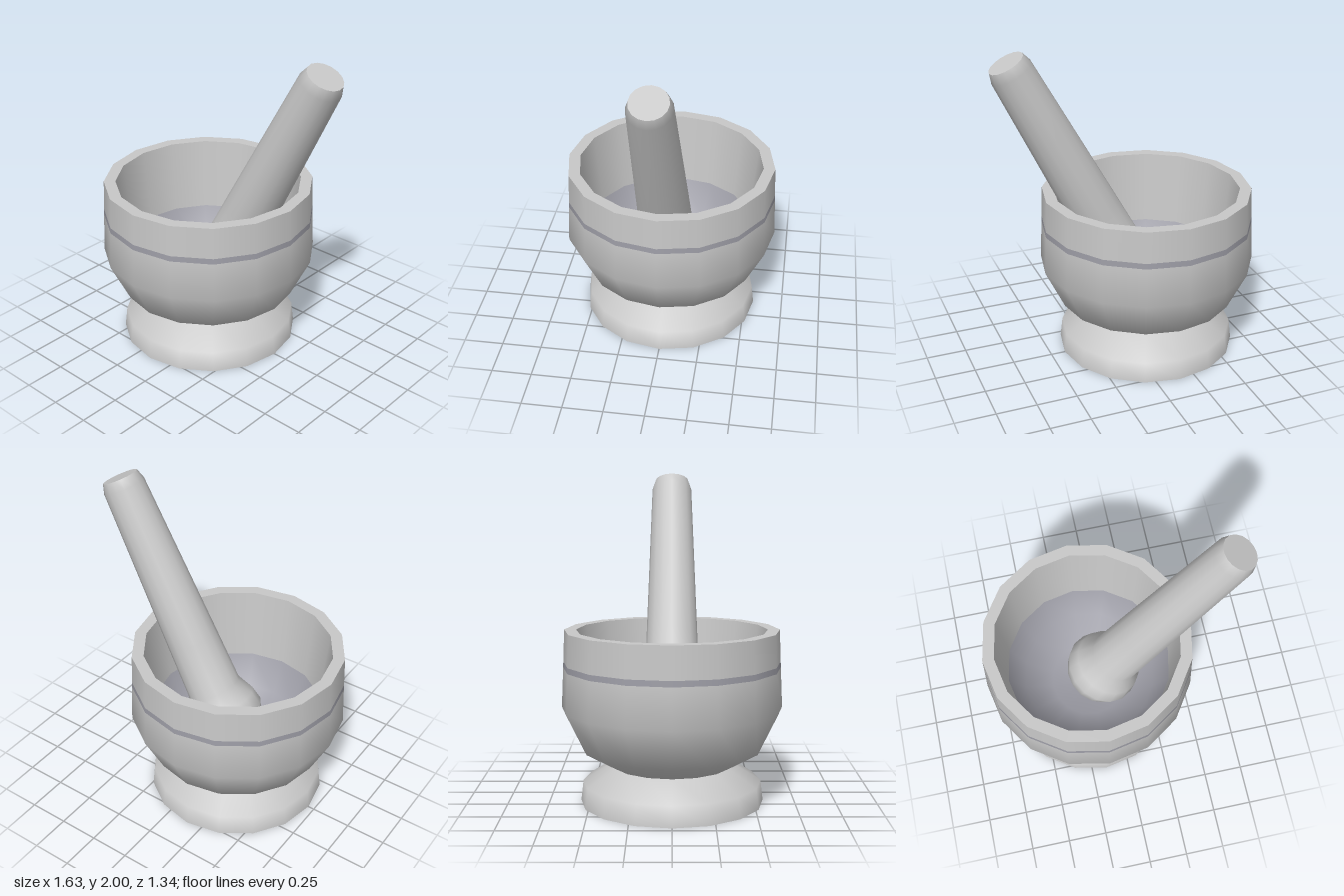
import * as THREE from 'three';

const stone = new THREE.MeshStandardMaterial({ color: 0xc8c8c8 });
stone.name = 'pale stone';
const slate = new THREE.MeshStandardMaterial({ color: 0x9e9ea7 });
slate.name = 'blue grey stone';

// Revolves a profile of [radius, height] points; points run upward for outward faces.
function turned(name, profile, material, sides = 16) {
  const points = profile.map(([r, y]) => new THREE.Vector2(r, y));
  const mesh = new THREE.Mesh(new THREE.LatheGeometry(points, sides), material);
  mesh.name = name;
  return mesh;
}

export function createModel() {
  const model = new THREE.Group();
  model.name = 'mortarAndPestle';

  // Mortar: separate rings keep the rim, foot and band edges crisp
  const mortar = new THREE.Group();
  mortar.name = 'mortar';
  mortar.position.x = -0.15;
  mortar.add(
    turned('footUnderside', [[0, 0], [0.56, 0]], stone),
    turned('foot', [[0.56, 0], [0.545, 0.125], [0.37, 0.232]], stone),
    turned('bowlOuter', [[0.37, 0.232], [0.55, 0.335], [0.672, 0.585], [0.661, 0.83]], stone),
    turned('bowlBand', [[0.661, 0.83], [0.6595, 0.865]], slate),
    turned('bowlUpperWall', [[0.6595, 0.865], [0.652, 1.06]], stone),
    turned('rim', [[0.652, 1.06], [0.58, 1.06]], stone),
    turned('bowlInnerWall', [[0.58, 1.06], [0.53, 0.6]], stone),
    turned('bowlFloor', [[0.53, 0.6], [0.43, 0.4], [0.25, 0.3], [0, 0.275]], slate),
  );
  model.add(mortar);

  // Pestle: origin at the centre of its top, leaning toward +x
  const pestle = new THREE.Group();
  pestle.name = 'pestle';
  pestle.position.set(0.712, 1.949, 0);
  pestle.rotation.z = -0.483;
  pestle.add(
    turned('pestleShaft', [
      [0, -1.86], [0.12, -1.84], [0.21, -1.76], [0.245, -1.66], [0.225, -1.57],
      [0.172, -1.46], [0.162, -1.1], [0.13, -0.06], [0.111, 0],
    ], stone),
    turned('pestleTop', [[0.111, 0], [0, 0]], stone),
  );
  model.add(pestle);

  return model;
}
